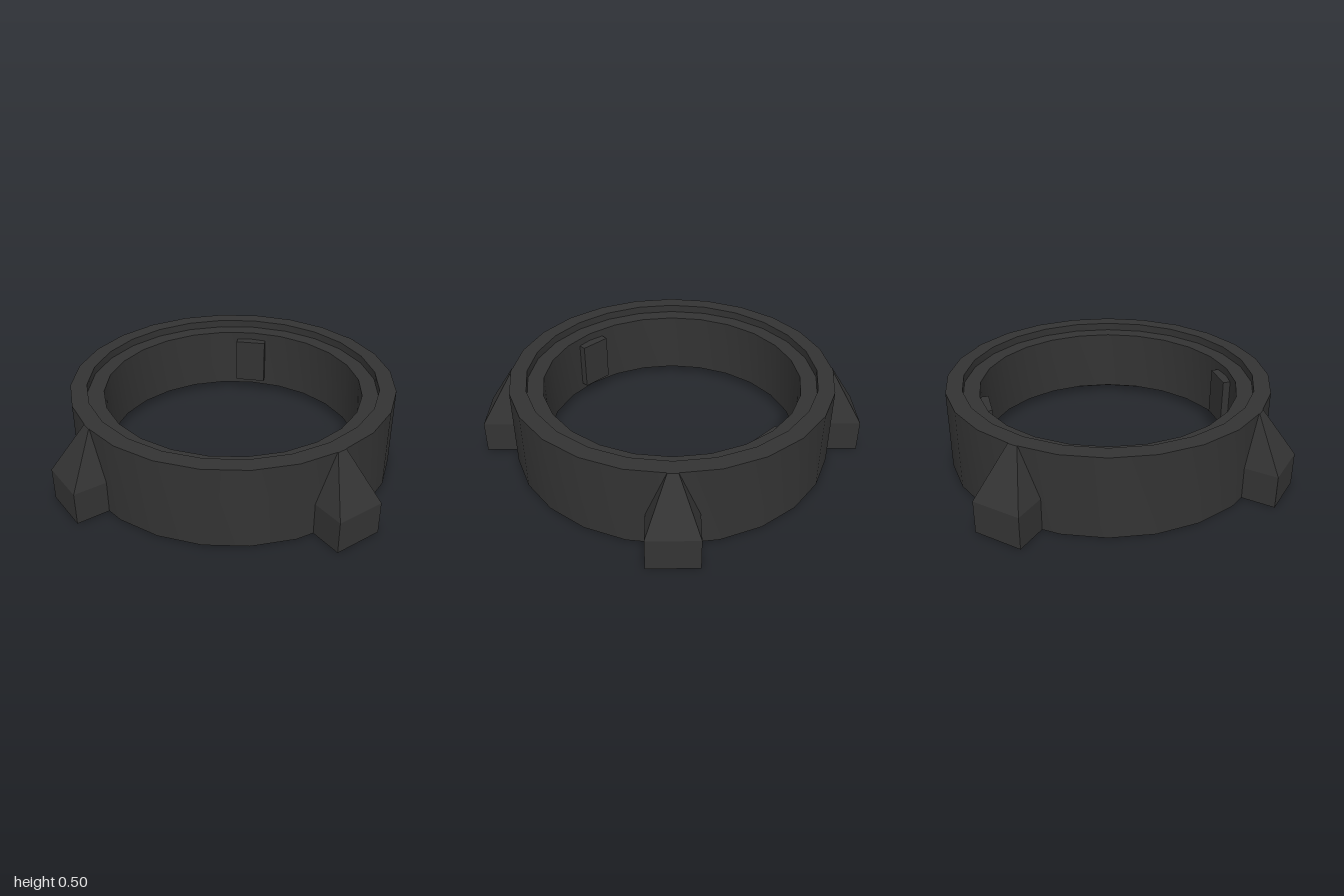
import * as THREE from 'three';
import { toCreasedNormals } from 'three/addons/utils/BufferGeometryUtils.js';

const OUTER = 1, STEP = 0.9, INNER = 0.8, HEIGHT = 0.5, RECESS = 0.05;

// Ring profile: outer wall, rims and a recessed step on the top and bottom
function ringGeometry() {
  const profile = [
    [OUTER, 0], [OUTER, HEIGHT], [STEP, HEIGHT], [STEP, HEIGHT - RECESS],
    [INNER, HEIGHT - RECESS], [INNER, RECESS], [STEP, RECESS], [STEP, 0], [OUTER, 0],
  ].map(([r, y]) => new THREE.Vector2(r, y));
  return toCreasedNormals(new THREE.LatheGeometry(profile, 24), 0.6);
}

// Lug: a block that tapers from its shoulder to a narrow tip at the rim
function lugGeometry() {
  const geometry = new THREE.BoxGeometry(1, 2, 1, 1, 2, 1);
  const p = geometry.attributes.position;
  for (let i = 0; i < p.count; i++) {
    const level = Math.round(p.getY(i)) + 1; // 0 base, 1 shoulder, 2 tip
    const halfWidth = level === 2 ? 0.03 : 0.15;
    const reach = level === 2 ? 1.0 : 1.18;
    p.setXYZ(
      i,
      Math.sign(p.getX(i)) * halfWidth,
      [0, 0.2, HEIGHT][level],
      p.getZ(i) > 0 ? reach : 0.93,
    );
  }
  const flat = geometry.toNonIndexed();
  flat.computeVertexNormals();
  return flat;
}

export function createModel() {
  const model = new THREE.Group();
  model.name = 'lockingRing';
  const darkGrey = new THREE.MeshStandardMaterial({ color: 0x333333 });
  darkGrey.name = 'darkGrey';

  const add = (name, geometry) => {
    const mesh = new THREE.Mesh(geometry, darkGrey);
    mesh.name = name;
    model.add(mesh);
    return mesh;
  };

  add('ring', ringGeometry());

  // Four lugs on the diagonals
  const lug = lugGeometry();
  for (let i = 0; i < 4; i++) {
    add(`lug${i + 1}`, lug).rotation.y = Math.PI / 4 + (i * Math.PI) / 2;
  }

  // Two keys on the inner wall, front and back
  const key = new THREE.BoxGeometry(0.2, 0.3, 0.1);
  for (const [name, side] of [['frontKey', 1], ['backKey', -1]]) {
    add(name, key).position.set(0, 0.25, side * 0.79);
  }

  return model;
}
